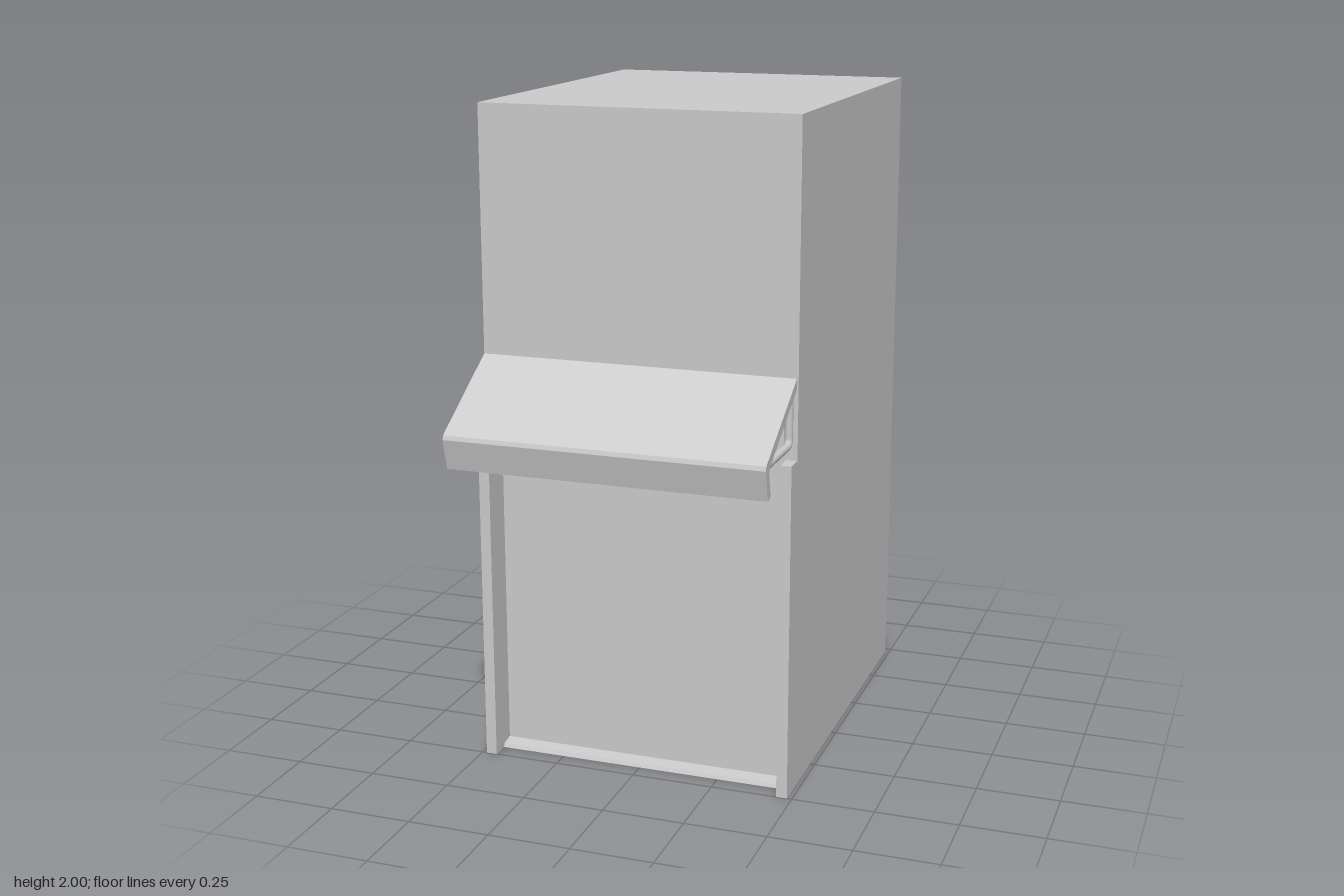
import * as THREE from 'three';

const material = new THREE.MeshStandardMaterial({ color: 0xcccccc, flatShading: true });
const smooth = new THREE.MeshStandardMaterial({ color: 0xcccccc });

// Extrudes a side profile of [z, y] points across x, from x0 to x1.
function slab(name, profile, x0, x1) {
  const shape = new THREE.Shape(profile.map(([z, y]) => new THREE.Vector2(z, y)));
  const geometry = new THREE.ExtrudeGeometry(shape, { depth: x1 - x0, bevelEnabled: false });
  geometry.rotateY(-Math.PI / 2).translate(x1, 0, 0);
  const mesh = new THREE.Mesh(geometry, material);
  mesh.name = name;
  return mesh;
}

export function createModel() {
  const group = new THREE.Group();
  group.name = 'cabinet';
  const half = 0.485, inner = 0.452;
  const back = -0.733, front = 0.44, cheek = 0.5, recess = 0.4;

  // Cabinet core with the recessed lower front and a low sloping sill
  group.add(slab('cabinetBody', [
    [back, 0], [front + 0.005, 0], [front, 0.012], [recess, 0.018], [recess, 0.975],
    [front, 0.975], [front, 2], [back, 2],
  ], -inner, inner));

  // Side panels, deeper below the awning
  const side = [[back, 0], [cheek, 0], [cheek, 1.02], [front, 1.02], [front, 2], [back, 2]];
  group.add(slab('leftSidePanel', side, inner, half));
  group.add(slab('rightSidePanel', side, -half, -inner));

  // Sloping awning with a folded edge and a hanging front lip
  group.add(slab('awning', [
    [front, 1.26], [0.715, 1.092], [0.729, 1.083], [0.733, 1.07], [0.71, 0.978],
    [0.685, 0.984], [0.702, 1.055], [0.695, 1.07], [front, 1.228],
  ], -half, 0.48));

  // Bent rod brackets under both ends of the awning
  for (const [name, x] of [['leftBracket', 0.462], ['rightBracket', -0.467]]) {
    const path = new THREE.CurvePath();
    const p = (y, z) => new THREE.Vector3(x, y, z);
    path.add(new THREE.LineCurve3(p(1.225, 0.453), p(1.09, 0.453)));
    path.add(new THREE.QuadraticBezierCurve3(p(1.09, 0.453), p(1.067, 0.453), p(1.067, 0.476)));
    path.add(new THREE.LineCurve3(p(1.067, 0.476), p(1.067, 0.705)));
    const bracket = new THREE.Mesh(new THREE.TubeGeometry(path, 40, 0.012, 10), smooth);
    bracket.name = name;
    group.add(bracket);
  }
  return group;
}
